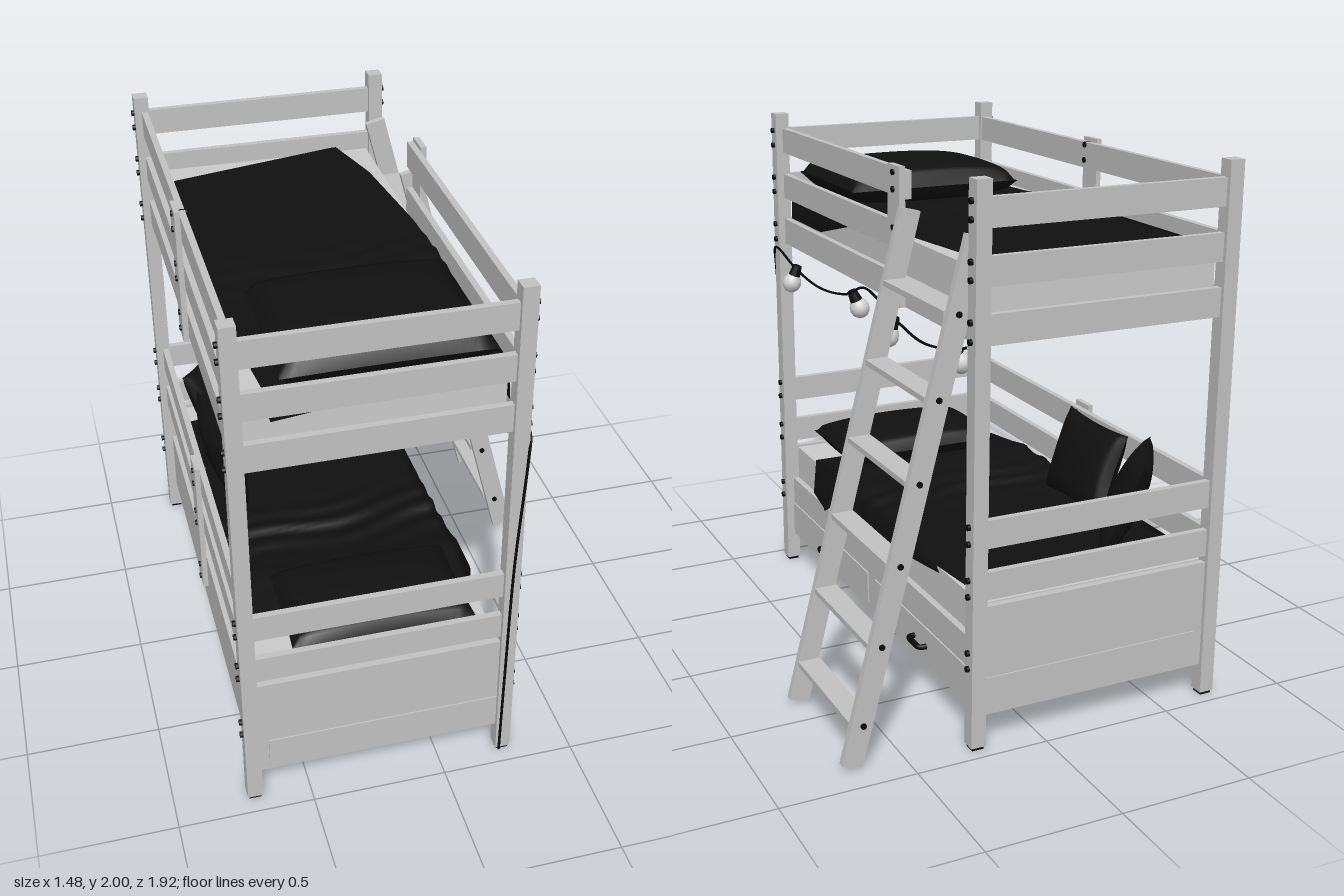
import * as THREE from 'three';

const std = (name, color, side = THREE.FrontSide) => {
  const m = new THREE.MeshStandardMaterial({ color, side });
  m.name = name;
  return m;
};

export function createModel() {
  const root = new THREE.Group();
  root.name = 'bunkBed';
  const wood = std('paintedWood', 0xc2c2c2);
  const mattressMat = std('mattressFabric', 0xcbcbcb);
  const cloth = std('darkBedding', 0x101010, THREE.DoubleSide);
  const metal = std('blackMetal', 0x0a0a0a);
  const glass = std('bulbGlass', 0xd6d6d6);

  const add = (name, geo, mat, parent = root) => {
    const m = new THREE.Mesh(geo, mat);
    m.name = name;
    parent.add(m);
    return m;
  };
  // box given by its minimum and maximum on each axis
  const box = (name, x0, x1, y0, y1, z0, z1, mat = wood) => {
    const m = add(name, new THREE.BoxGeometry(x1 - x0, y1 - y0, z1 - z0), mat);
    m.position.set((x0 + x1) / 2, (y0 + y1) / 2, (z0 + z1) / 2);
    return m;
  };
  const bolt = (x, y, z, length, alongZ = false) => {
    const m = add('bolt', new THREE.CylinderGeometry(0.011, 0.011, length, 10), metal);
    m.position.set(x, y, z);
    if (alongZ) m.rotation.x = Math.PI / 2;
    else m.rotation.z = Math.PI / 2;
  };

  const XL = -0.707, XR = 0.247, ZF = 0.912, ZB = -0.928;
  const upperRails = [[1.455, 1.56], [1.65, 1.75], [1.84, 1.94]];
  const lowerRails = [[0.56, 0.662], [0.748, 0.85]];
  const upperBolts = [1.93, 1.87, 1.735, 1.675, 1.537, 1.472];
  const lowerBolts = [0.833, 0.772, 0.64, 0.58];

  // corner posts with bolts
  for (const x of [XL, XR]) for (const z of [ZF, ZB]) {
    box('cornerPost', x - 0.028, x + 0.028, 0.012, 2, z - 0.028, z + 0.028);
    box('postFoot', x - 0.022, x + 0.022, 0, 0.012, z - 0.022, z + 0.022, metal);
    for (const y of [...upperBolts, ...lowerBolts, 0.37, 0.31])
      bolt(x + Math.sign(x) * 0.03, y, z, 0.018);
  }

  // end rails, end boards and their raised panels
  for (const z of [ZF, ZB]) {
    const out = Math.sign(z);
    for (const [a, b] of [...upperRails, ...lowerRails])
      box('endRail', -0.68, 0.22, a, b, z - 0.0125, z + 0.0125);
    box('endBoard', -0.68, 0.22, 0.125, 0.535, z - 0.0125, z + 0.0125);
    const p = z + out * 0.015;
    box('endPanel', -0.645, 0.215, 0.15, 0.268, p - 0.003, p + 0.003);
  }

  // long rails: full length on the closed side, shorter beside the ladder
  for (const [a, b] of upperRails) {
    box('backRail', -0.708, -0.684, a, b, -0.9, 0.885);
    box('guardRail', 0.223, 0.247, a, b, a < 1.5 ? -0.9 : -0.355, 0.885);
  }
  for (const [a, b] of lowerRails) box('backRail', -0.708, -0.684, a, b, -0.9, 0.885);
  box('guardUpright', 0.247, 0.27, 1.455, 1.955, -0.355, -0.255);
  box('upperBackUpright', -0.728, -0.708, 1.44, 1.955, -0.05, 0.05);
  box('lowerBackUpright', -0.728, -0.708, 0.29, 0.87, -0.05, 0.05);
  for (const y of upperBolts) {
    bolt(0.27, y, -0.305, 0.014);
    bolt(-0.706, y, 0, 0.056);
  }
  for (const y of lowerBolts) bolt(-0.706, y, 0, 0.056);
  for (const y of [0.37, 0.31]) bolt(-0.728, y, 0, 0.012);

  // drawer base, drawer fronts and handles
  box('drawerBase', -0.7, 0.24, 0.125, 0.39, -0.905, 0.89);
  for (const [z0, z1, h] of [[0.03, 0.875, 0.45], [-0.87, -0.04, -0.47]]) {
    box('drawerFront', 0.24, 0.246, 0.145, 0.275, z0, z1);
    const path = new THREE.CatmullRomCurve3([
      [0.243, -0.052], [0.27, -0.046], [0.274, 0], [0.27, 0.046], [0.243, 0.052],
    ].map(([x, z]) => new THREE.Vector3(x, 0.203, h + z)));
    add('drawerHandle', new THREE.TubeGeometry(path, 16, 0.011, 8), metal);
  }

  // mattresses and slats
  box('lowerMattress', -0.678, 0.215, 0.39, 0.532, -0.9, 0.885, mattressMat);
  box('upperMattress', -0.675, 0.205, 1.5, 1.685, -0.9, 0.885, mattressMat);
  for (let i = 0; i < 14; i++) {
    const z = -0.85 + i * 0.13;
    box('slat', -0.705, 0.223, 1.475, 1.499, z - 0.045, z + 0.045);
  }

  // blanket rows along z: [z, left x, right x, z shift at left, left drop, right drop, right flare, lift]
  const blanket = (name, y, rows, crease) => {
    const N = 90, M = 28, pos = [], idx = [];
    for (let i = 0; i <= N; i++) {
      const z = rows[0][0] + (rows.at(-1)[0] - rows[0][0]) * i / N;
      let k = 0;
      while (k < rows.length - 2 && z > rows[k + 1][0]) k++;
      const f = (z - rows[k][0]) / (rows[k + 1][0] - rows[k][0]);
      const [, xl, xr, shift, dl, dr, flare, lift] = rows[k].map((v, c) => v + (rows[k + 1][c] - v) * f);
      for (let j = 0; j <= M; j++) {
        const t = Math.min(Math.max((j - 1) / (M - 2), 0), 1);
        const x = xl + (xr - xl) * t;
        const amp = crease * Math.exp(-(((z - 0.1) / 0.17) ** 2));
        const wave = amp * (1 + Math.sin(52 * z + 7 * x + 2 * Math.sin(9 * x)));
        let h = y + lift + wave, px = x;
        if (j === 0) { h -= dl + wave + lift; px -= 0.004; }
        if (j === M) { h -= dr + wave + lift; px += 0.004 + flare; }
        pos.push(px, h, z + shift * (1 - t));
      }
    }
    const W = M + 1;
    for (let i = 0; i < N; i++) for (let j = 0; j < M; j++) {
      const a = i * W + j;
      idx.push(a, a + W, a + 1, a + 1, a + W, a + W + 1);
    }
    const g = new THREE.BufferGeometry();
    g.setAttribute('position', new THREE.Float32BufferAttribute(pos, 3));
    g.setIndex(idx);
    g.computeVertexNormals();
    add(name, g, cloth);
  };
  blanket('upperBlanket', 1.697, [
    [-0.92, -0.678, 0.08, 0.17, 0.13, 0.004, 0, 0],
    [-0.65, -0.678, 0.15, 0.12, 0.11, 0.004, 0, 0],
    [-0.2, -0.678, 0.2, 0.05, 0.05, 0.005, 0, 0],
    [0.05, -0.678, 0.21, 0, 0.01, 0.01, 0, 0],
    [0.2, -0.64, 0.21, 0, 0.004, 0.05, 0, 0],
    [0.55, -0.61, 0.211, 0, 0.004, 0.137, 0, 0],
    [0.887, -0.58, 0.211, 0, 0.004, 0.137, 0, 0],
  ], 0.006);
  blanket('lowerBlanket', 0.545, [
    [-0.88, -0.68, 0.18, 0.12, 0.12, 0.005, 0, 0],
    [-0.5, -0.68, 0.218, 0.08, 0.1, 0.04, 0, 0],
    [-0.05, -0.68, 0.22, 0.03, 0.05, 0.095, 0.01, 0],
    [0.15, -0.67, 0.22, 0, 0.01, 0.09, 0.02, 0.005],
    [0.32, -0.65, 0.225, 0, 0.01, 0.08, 0.04, 0.02],
    [0.37, -0.65, 0.23, 0, 0.01, 0.12, 0.06, 0.035],
    [0.47, -0.64, 0.225, 0, 0.01, 0.145, 0.03, 0.02],
    [0.65, -0.63, 0.22, 0, 0.01, 0.145, 0.01, 0.003],
  ], 0.01);
  // hanging corner of the upper blanket at the foot end
  const corner = new THREE.Shape([[-0.6, 1.697], [-0.1, 1.697], [-0.23, 1.65], [-0.58, 1.61]]
    .map(([x, y]) => new THREE.Vector2(x, y)));
  add('blanketCorner', new THREE.ShapeGeometry(corner), cloth).position.z = 0.889;

  // pillows: boxes puffed in the middle and pinched at the seams
  const pillow = (name, hx, hy, hz, x, y, z, yaw = 0, lean = 0, puff = 0.4, pinch = 0.07) => {
    const g = new THREE.BoxGeometry(2, 2, 2, 22, 1, 22);
    const p = g.attributes.position;
    for (let i = 0; i < p.count; i++) {
      const u = p.getX(i), v = p.getZ(i);
      const e = Math.max((1 - u * u) * (1 - v * v), 0) ** puff;
      p.setXYZ(i, hx * u * (1 - pinch * (1 - v * v)), hy * Math.sign(p.getY(i)) * e,
        hz * v * (1 - pinch * (1 - u * u)));
    }
    g.computeVertexNormals();
    const m = add(name, g, cloth);
    m.rotation.set(0, yaw, lean, 'YXZ');
    m.position.set(x, y, z);
  };
  pillow('upperPillow', 0.36, 0.085, 0.295, -0.185, 1.757, 0.587, 0, 0, 0.25, 0.02);
  pillow('lowerPillow', 0.34, 0.078, 0.212, -0.19, 0.61, 0.642, 0, 0, 0.32, 0.02);
  pillow('cushion', 0.172, 0.065, 0.215, -0.57, 0.72, -0.268, 0, -1.25);
  pillow('cornerCushion', 0.185, 0.065, 0.2, -0.5, 0.73, -0.68, -0.65, -1.2);

  // ladder: two leaning side boards, flat treads, bolts
  const lean = 0.25;
  for (const [z, out] of [[-0.372, 1], [-0.884, -1]]) {
    const side = add('ladderSide', new THREE.BoxGeometry(0.078, 1.847, 0.026), wood);
    side.position.set(0.468, 0.915, z);
    side.rotation.z = lean;
    for (let i = 0; i < 6; i++) bolt(0.655 - i * 0.07, 0.165 + i * 0.279, z + out * 0.013, 0.012, true);
  }
  for (let i = 0; i < 6; i++) {
    const x = 0.655 - i * 0.07, y = 0.165 + i * 0.279;
    box('ladderTread', x - 0.042, x + 0.042, y - 0.01, y + 0.01, -0.871, -0.385);
  }

  // string lights: cord up the post and draped below the upper bunk
  const cord = new THREE.CatmullRomCurve3([
    [0.23, 0.012, 0.948], [0.235, 0.4, 0.95], [0.245, 0.9, 0.95], [0.27, 1.35, 0.95],
    [0.282, 1.43, 0.925], [0.284, 1.44, 0.88], [0.275, 1.385, 0.68], [0.265, 1.357, 0.44],
    [0.255, 1.385, 0.19], [0.255, 1.45, 0], [0.262, 1.4, -0.29], [0.255, 1.366, -0.5],
    [0.25, 1.39, -0.7], [0.262, 1.44, -0.88],
  ].map((p) => new THREE.Vector3(...p)));
  add('lightCord', new THREE.TubeGeometry(cord, 160, 0.005, 6), metal);
  for (const [x, y, z, tilt] of [[0.275, 1.39, 0.68, 0.2], [0.225, 1.385, 0.19, -0.1],
    [0.262, 1.395, -0.285, 0.15], [0.222, 1.395, -0.69, -0.1]]) {
    const light = new THREE.Group();
    light.name = 'hangingBulb';
    light.position.set(x, y, z);
    light.rotation.set(-tilt * 0.8, 0, x > 0.25 ? 0.3 : -0.4);
    add('bulbSocket', new THREE.CylinderGeometry(0.018, 0.025, 0.045, 14), metal, light).position.y = -0.01;
    const profile = [[0, -0.105], [0.02, -0.1], [0.034, -0.085], [0.039, -0.066], [0.035, -0.047], [0.025, -0.03]];
    add('bulb', new THREE.LatheGeometry(profile.map((p) => new THREE.Vector2(...p)), 20), glass, light);
    root.add(light);
  }
  return root;
}
